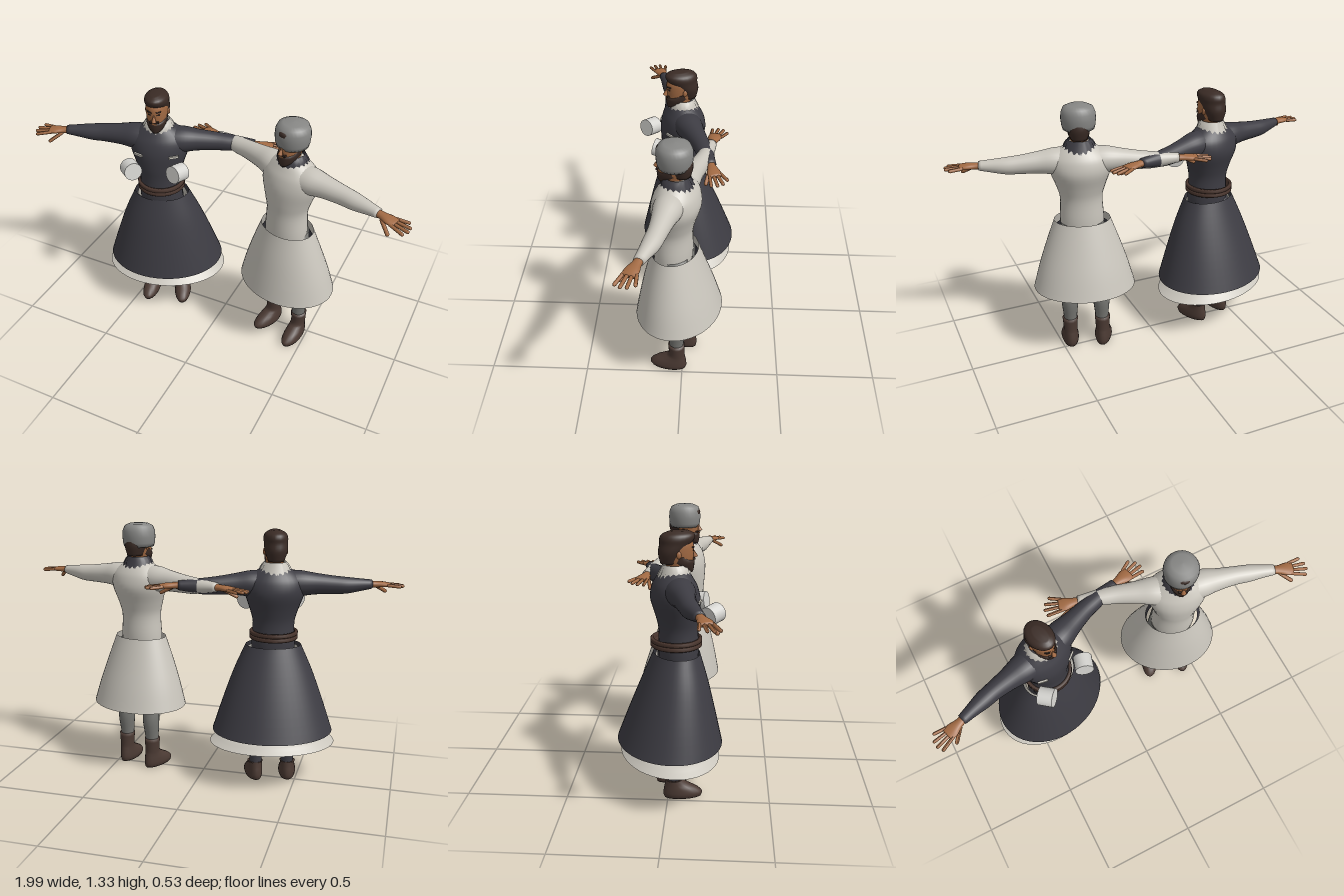
import * as THREE from 'three';

const mat = (name, color, side = THREE.FrontSide) => {
  const m = new THREE.MeshStandardMaterial({ color, side });
  m.name = name;
  return m;
};

// Smooth loft through rings [height, radiusU, radiusV, centreU, centreV].
// axis 'y': u = x, v = z.  axis 'x': u = z, v = y.
function loft(rings, { axis = 'y', seg = 24, steps = 4, cap = true, jag = 0 } = {}) {
  const pick = (f) => new THREE.CatmullRomCurve3(rings.map(f), false, 'catmullrom', 0.5);
  const size = pick(([h, u, v]) => new THREE.Vector3(h, u, v));
  const mid = pick(([, , , u = 0, v = 0]) => new THREE.Vector3(u, v, 0));
  const n = (rings.length - 1) * steps;
  const pos = [], idx = [];
  const put = (u, v, h) => (axis === 'y' ? pos.push(u, h, v) : pos.push(h, v, u));
  for (let i = 0; i <= n; i++) {
    const s = size.getPoint(i / n), c = mid.getPoint(i / n);
    for (let j = 0; j < seg; j++) {
      const a = (j / seg) * Math.PI * 2;
      const tooth = (j % 2 ? 1 : -1) * jag * (1 - i / n);
      put(c.x + Math.cos(a) * s.y, c.y + Math.sin(a) * s.z, s.x + tooth);
    }
  }
  for (let i = 0; i < n; i++) {
    for (let j = 0; j < seg; j++) {
      const k = (j + 1) % seg, a = i * seg + j, b = i * seg + k, c = a + seg, d = b + seg;
      idx.push(a, c, b, b, c, d);
    }
  }
  if (cap) {
    const e0 = size.getPoint(0), e1 = size.getPoint(1), m0 = mid.getPoint(0), m1 = mid.getPoint(1);
    put(m0.x, m0.y, e0.x);
    put(m1.x, m1.y, e1.x);
    const base = (n + 1) * seg;
    for (let j = 0; j < seg; j++) {
      const k = (j + 1) % seg;
      idx.push(base, j, k, base + 1, n * seg + k, n * seg + j);
    }
  }
  const g = new THREE.BufferGeometry();
  g.setAttribute('position', new THREE.Float32BufferAttribute(pos, 3));
  g.setIndex(idx);
  g.computeVertexNormals();
  return g;
}

// Mirrored copy across x with the winding restored
function mirrored(geo) {
  const g = geo.clone().scale(-1, 1, 1);
  const a = g.index.array;
  for (let i = 0; i < a.length; i += 3) [a[i], a[i + 1]] = [a[i + 1], a[i]];
  g.computeVertexNormals();
  return g;
}

function add(group, name, geo, material, x = 0, y = 0, z = 0) {
  const m = new THREE.Mesh(geo, material);
  m.name = name;
  m.position.set(x, y, z);
  group.add(m);
  return m;
}

function pair(group, name, geo, material) {
  add(group, name + 'Left', geo, material);
  add(group, name + 'Right', mirrored(geo), material);
}

// Finger: capsule running between two points
function finger(from, to, r) {
  const a = new THREE.Vector3(...from), b = new THREE.Vector3(...to), d = b.clone().sub(a);
  const g = new THREE.CapsuleGeometry(r, d.length() - r, 3, 8);
  g.applyQuaternion(new THREE.Quaternion().setFromUnitVectors(new THREE.Vector3(0, 1, 0), d.normalize()));
  const m = a.add(b).multiplyScalar(0.5);
  return g.translate(m.x, m.y, m.z);
}

export function createModel() {
  const dark = mat('darkCloth', 0x3d3c43, THREE.DoubleSide);
  const light = mat('lightCloth', 0xc9c5bc, THREE.DoubleSide);
  const grey = mat('greyTrousers', 0x777773);
  const wool = mat('greyHat', 0x878785);
  const skin = mat('skin', 0xa26a43);
  const hairMat = mat('hair', 0x3a2b25);
  const boots = mat('bootLeather', 0x4b3a33);
  const leather = mat('beltLeather', 0x4a362e);
  const white = mat('whiteMetal', 0xd6d5d1);

  function makeFigure(name, coat, collarMat, legMat, bootTop) {
    const f = new THREE.Group();
    f.name = name;

    // Coat body and sleeves
    add(f, 'torso', loft([
      [0.68, 0.112, 0.093, 0, 0.045], [0.75, 0.112, 0.096, 0, 0.045], [0.85, 0.107, 0.095, 0, 0.045],
      [0.92, 0.124, 0.105, 0, 0.04], [1.0, 0.15, 0.117, 0, 0.029], [1.06, 0.15, 0.106, 0, 0.026],
      [1.1, 0.12, 0.085, 0, 0.026], [1.135, 0.07, 0.06, 0, 0.03], [1.155, 0.045, 0.045, 0, 0.03]], { seg: 32 }), coat);
    pair(f, 'sleeve', loft([
      [0.07, 0.075, 0.07, 0.03, 1.05], [0.13, 0.07, 0.066, 0.026, 1.053], [0.2, 0.056, 0.055, 0.02, 1.052],
      [0.29, 0.046, 0.047, 0.012, 1.047], [0.36, 0.043, 0.042, 0.01, 1.044], [0.43, 0.033, 0.032, 0.012, 1.046],
      [0.49, 0.026, 0.023, 0.015, 1.048]], { axis: 'x' }), coat);
    add(f, 'furCollar', loft([
      [1.1, 0.088, 0.08, 0, 0.024], [1.14, 0.073, 0.068, 0, 0.028], [1.165, 0.056, 0.056, 0, 0.025]],
    { cap: false, seg: 36, jag: 0.012 }), collarMat);

    // Hands
    pair(f, 'palm', loft([
      [0.47, 0.02, 0.018, 0.015, 1.048], [0.51, 0.023, 0.016, 0.017, 1.047],
      [0.55, 0.034, 0.014, 0.02, 1.046], [0.585, 0.034, 0.01, 0.02, 1.043]], { axis: 'x', seg: 14 }), skin);
    for (let i = 0; i < 4; i++) {
      const z = 0.046 - i * 0.018;
      const tip = [0.645, 0.655, 0.65, 0.627][i];
      pair(f, 'finger' + (i + 1), finger([0.565, 1.044, z], [tip, 1.034 + i * 0.002, z + 0.014 - i * 0.011], 0.0085), skin);
    }
    pair(f, 'thumb', finger([0.515, 1.038, 0.032], [0.578, 1.0, 0.068], 0.0095), skin);

    // Legs and boots
    pair(f, 'trouserLeg', loft([
      [0.06, 0.032, 0.034, 0.084, 0], [0.16, 0.034, 0.036, 0.084, 0.003], [0.27, 0.044, 0.046, 0.083, -0.002],
      [0.36, 0.043, 0.045, 0.08, 0.006], [0.5, 0.052, 0.058, 0.072, 0.015], [0.72, 0.056, 0.08, 0.055, 0.035]], { seg: 18 }), legMat);
    const boot = loft([
      [0.005, 0.04, 0.092, 0, 0.046], [0.025, 0.046, 0.097, 0, 0.046], [0.05, 0.044, 0.083, 0, 0.034],
      [0.075, 0.039, 0.058, 0, 0.014], [0.1, 0.037, 0.042, 0, 0.002], [bootTop, 0.041, 0.043, 0, 0.002]], { seg: 20 });
    pair(f, 'boot', boot.rotateY(0.12).translate(0.086, 0, 0), boots);

    // Head, hair and beard
    add(f, 'head', loft([
      [1.1, 0.043, 0.045, 0, 0.028], [1.14, 0.042, 0.05, 0, 0.036], [1.16, 0.045, 0.064, 0, 0.048],
      [1.19, 0.051, 0.07, 0, 0.044], [1.225, 0.055, 0.076, 0, 0.04], [1.26, 0.055, 0.077, 0, 0.037],
      [1.29, 0.045, 0.063, 0, 0.033], [1.305, 0.02, 0.03, 0, 0.032]]), skin);
    add(f, 'hair', loft([
      [1.17, 0.04, 0.04, 0, -0.002], [1.22, 0.057, 0.06, 0, 0.008], [1.26, 0.06, 0.074, 0, 0.028],
      [1.285, 0.061, 0.083, 0, 0.037], [1.305, 0.052, 0.076, 0, 0.042], [1.32, 0.025, 0.045, 0, 0.046]]), hairMat);
    add(f, 'beard', loft([
      [1.125, 0.018, 0.02, 0, 0.092], [1.14, 0.036, 0.042, 0, 0.074], [1.165, 0.049, 0.058, 0, 0.061],
      [1.182, 0.053, 0.062, 0, 0.053], [1.205, 0.055, 0.03, 0, 0.045]]), hairMat);
    add(f, 'moustache', new THREE.BoxGeometry(0.046, 0.009, 0.012), hairMat, 0, 1.19, 0.113);
    add(f, 'mouth', new THREE.BoxGeometry(0.022, 0.006, 0.006), skin, 0, 1.18, 0.116);
    const nose = add(f, 'nose', new THREE.ConeGeometry(0.013, 0.045, 8), skin, 0, 1.216, 0.118);
    nose.rotation.x = -0.3;
    for (const s of [-1, 1]) {
      const brow = add(f, 'eyebrow', new THREE.BoxGeometry(0.026, 0.007, 0.008), hairMat, s * 0.022, 1.244, 0.108);
      brow.rotation.set(0, s * 0.4, s * 0.12);
      const eye = add(f, 'eye', new THREE.BoxGeometry(0.016, 0.006, 0.006), hairMat, s * 0.021, 1.23, 0.109);
      eye.rotation.y = s * 0.4;
      const ear = add(f, 'ear', new THREE.SphereGeometry(0.016, 10, 8), skin, s * 0.056, 1.215, 0.032);
      ear.scale.set(0.45, 1.1, 0.75);
    }
    return f;
  }

  // Dark-coated figure: long skirt over a flared light underskirt
  const a = makeFigure('darkCoatFigure', dark, light, dark, 0.1);
  const open = { cap: false, seg: 48 };
  add(a, 'skirt', loft([
    [0.285, 0.313, 0.255, 0, 0], [0.45, 0.258, 0.205, 0, 0.014], [0.6, 0.203, 0.157, 0, 0.027],
    [0.735, 0.143, 0.11, 0, 0.036]], open), dark);
  add(a, 'underskirt', loft([
    [0.22, 0.327, 0.239, 0, 0], [0.25, 0.275, 0.207, 0, 0], [0.285, 0.233, 0.183, 0, 0],
    [0.45, 0.21, 0.165, 0, 0.014], [0.72, 0.13, 0.1, 0, 0.036]], open), light);

  // Belt: two stacked straps
  const strap = [[0.108, 0], [0.12, 0], [0.124, 0.004], [0.124, 0.017], [0.12, 0.021], [0.108, 0.021], [0.108, 0]]
    .map(([x, y]) => new THREE.Vector2(x, y));
  for (const y of [0.768, 0.79]) add(a, 'belt', new THREE.LatheGeometry(strap, 40), leather, 0, y, 0.034);

  // Chest canisters and their pocket trims
  for (const s of [-1, 1]) {
    const can = new THREE.CylinderGeometry(0.046, 0.046, 0.075, 20).rotateX(Math.PI / 2 - 0.15);
    add(a, 'canister', can, white, s * 0.12, 0.945, 0.18).rotation.y = -s * 0.58;
    const trim = add(a, 'pocketTrim', new THREE.BoxGeometry(0.05, 0.012, 0.009), light, s * 0.092, 1.0, 0.126);
    trim.rotation.y = s * 0.45;
  }
  a.position.set(-0.372, 0, 0.002);
  a.rotation.y = 0.3;

  // Light-coated figure: shorter lined skirt and a round hat
  const b = makeFigure('lightCoatFigure', light, dark, grey, 0.168);
  const shortSkirt = [
    [0.365, 0.264, 0.212, 0, 0.015], [0.48, 0.232, 0.184, 0, 0.022], [0.6, 0.192, 0.151, 0, 0.03],
    [0.735, 0.143, 0.11, 0, 0.036]];
  add(b, 'skirt', loft(shortSkirt, open), light);
  add(b, 'skirtLining', loft(shortSkirt.map(([h, u, v, x, z]) => [h < 0.7 ? h + 0.004 : 0.7, u - 0.008, v - 0.008, x, z]), open), dark);
  const hat = [[0, 1.215], [0.078, 1.215], [0.083, 1.235], [0.086, 1.265], [0.084, 1.295], [0.074, 1.32], [0.05, 1.332], [0, 1.335]]
    .map(([x, y]) => new THREE.Vector2(x, y));
  add(b, 'hat', new THREE.LatheGeometry(hat, 28), wool, 0, 0, 0.035);
  b.position.set(0.372, 0, 0.002);
  b.rotation.y = -0.3;

  const model = new THREE.Group();
  model.name = 'twoCoatedFigures';
  model.add(a, b);
  return model;
}
